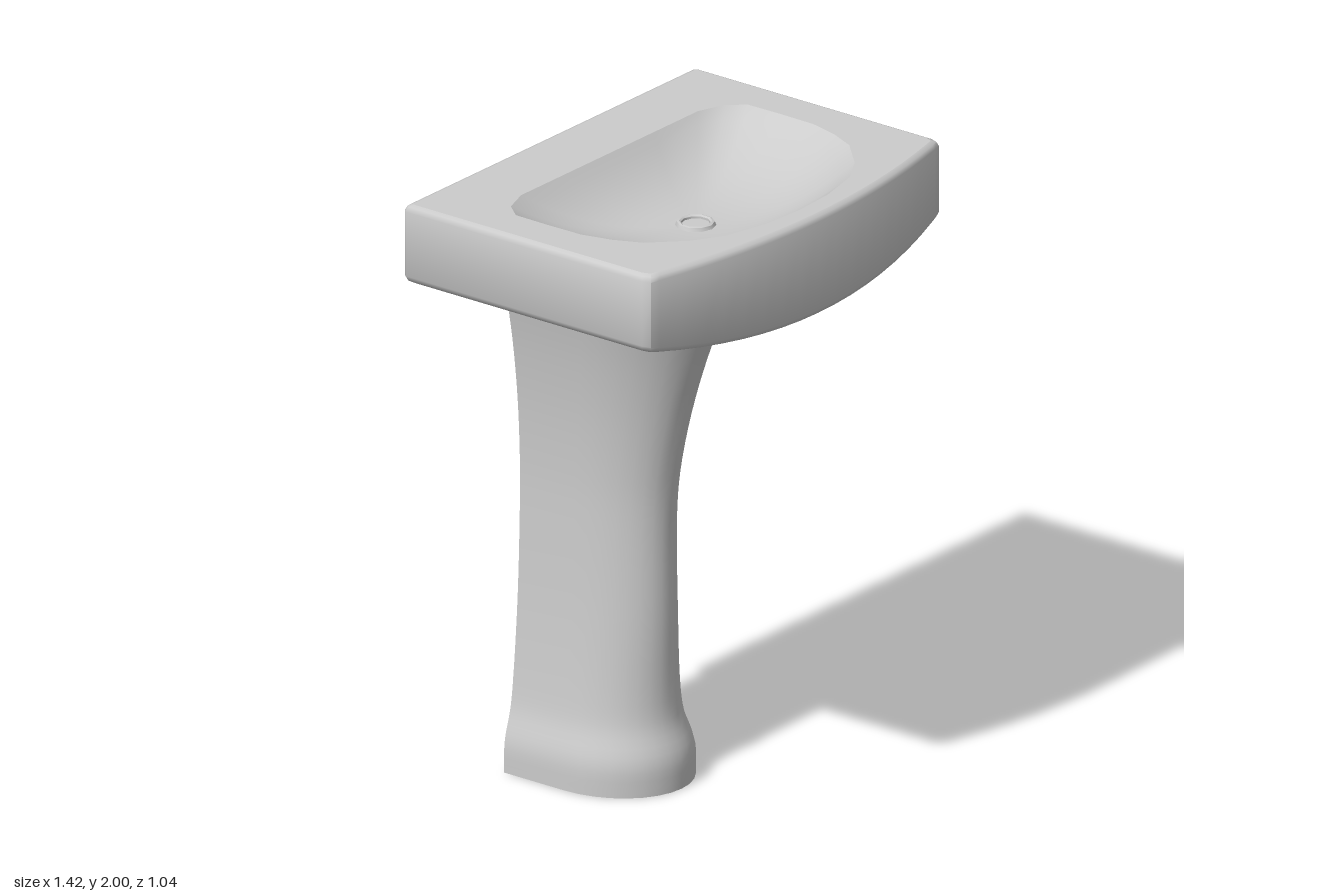
import * as THREE from 'three';
import { toCreasedNormals } from 'three/addons/utils/BufferGeometryUtils.js';

const V = (x, y, z) => new THREE.Vector3(x, y, z);

function meshFrom(name, tris, crease) {
  const geo = new THREE.BufferGeometry().setFromPoints(tris);
  return meshOf(name, toCreasedNormals(geo, crease));
}

function meshOf(name, geo) {
  const mesh = new THREE.Mesh(geo, new THREE.MeshStandardMaterial({ color: 0xcccccc }));
  mesh.name = name;
  return mesh;
}

// Triangles of a skin between successive closed rings
function loft(rings) {
  const tris = [];
  for (let k = 0; k + 1 < rings.length; k++) {
    const r0 = rings[k], r1 = rings[k + 1], n = r0.length;
    for (let i = 0; i < n; i++) {
      const j = (i + 1) % n;
      tris.push(r0[i], r0[j], r1[j], r0[i], r1[j], r1[i]);
    }
  }
  return tris;
}

// Basin plan: straight back and sides, bowed front, softened corners
const bottomY = (x) => 1.675 + 0.075 * (x / 0.71) ** 2;
const columns = [-0.71, -0.7];
for (let i = 0; i <= 16; i++) columns.push(-0.67 + (1.34 * i) / 16);
columns.push(0.7, 0.71);
const front = columns.map((x) => [x, Math.abs(x) > 0.705 ? 0.4 : 0.52 - 0.085 * (x / 0.67) ** 2]);
const back = columns.map((x) => [x, Math.abs(x) > 0.705 ? -0.51 : -0.52]);
const plan = [...front, ...back.slice().reverse()];

function planRing(inset, yAt) {
  return plan.map(([px, pz]) => {
    const x = px * (1 - inset / 0.71), z = pz * (1 - inset / 0.52);
    return V(x, yAt(x), z);
  });
}

// Bowl outline, mirrored from its left half
const half = [[0.15, 0.435], [0.3, 0.4], [0.4, 0.34], [0.5, 0.24], [0.54, 0.15], [0.565, 0.05],
  [0.567, -0.08], [0.565, -0.2], [0.52, -0.255], [0.43, -0.287], [0.22, -0.287]];
const bowlPlan = [[0, 0.445], ...half, [0, -0.287], ...half.slice().reverse().map(([x, z]) => [-x, z])];
const drainZ = 0.045, bowlDepth = 0.15;

function makeBasin() {
  const group = new THREE.Group();
  group.name = 'basin';

  // Outer walls with rounded edges, and the arched underside
  const low = (h) => (x) => bottomY(x) + h;
  const rings = [
    planRing(0.02, low(0)), planRing(0.006, low(0.006)), planRing(0, low(0.02)),
    planRing(0, () => 1.98), planRing(0.006, () => 1.994), planRing(0.02, () => 2),
  ];
  const tris = loft(rings);
  const n = columns.length, under = rings[0];
  for (let i = 0; i + 1 < n; i++) {
    const f0 = under[i], f1 = under[i + 1], b0 = under[2 * n - 1 - i], b1 = under[2 * n - 2 - i];
    tris.push(f0, b0, b1, f0, b1, f1);
  }
  group.add(meshFrom('basinShell', tris, 0.9));

  // Flat rim around the bowl
  const shape = new THREE.Shape(rings[5].map((p) => new THREE.Vector2(p.x, -p.z)));
  shape.holes.push(new THREE.Path(bowlPlan.map(([x, z]) => new THREE.Vector2(x, -z))));
  const rim = new THREE.ShapeGeometry(shape).rotateX(-Math.PI / 2).translate(0, 2, 0);
  group.add(meshOf('rim', rim));

  // Bowl sinking towards the drain
  const bowlRings = [];
  for (let k = 0; k <= 12; k++) {
    const t = 1 - (0.95 * k) / 12;
    const y = 2 - bowlDepth * (1 - t ** 2.5);
    bowlRings.push(bowlPlan.map(([x, z]) => V(x * t, y, drainZ + (z - drainZ) * t)));
  }
  group.add(meshFrom('bowl', loft(bowlRings), 1));
  return group;
}

function makeDrain() {
  const group = new THREE.Group();
  group.name = 'drain';
  const profile = [[0.045, 0], [0.045, 0.01], [0.051, 0.014], [0.058, 0.012], [0.063, 0]]
    .map(([r, y]) => new THREE.Vector2(r, y)).reverse();
  const ring = meshOf('drainRing', toCreasedNormals(new THREE.LatheGeometry(profile, 10), 0.7));
  ring.material.side = THREE.DoubleSide;
  const plate = meshOf('drainPlate', new THREE.CircleGeometry(0.05, 10).rotateX(-Math.PI / 2));
  plate.position.y = 0.003;
  group.add(ring, plate);
  group.position.set(0, 2 - bowlDepth, drainZ);
  return group;
}

function makePedestal() {
  // Half width, height and front reach up the column
  const path = new THREE.CatmullRomCurve3([
    V(0.23, 0, -0.01), V(0.228, 0.1, -0.012), V(0.2, 0.2, -0.045), V(0.188, 0.28, -0.055),
    V(0.165, 0.55, -0.055), V(0.154, 0.85, -0.055), V(0.154, 1, -0.042), V(0.165, 1.2, 0),
    V(0.19, 1.4, 0.06), V(0.225, 1.58, 0.13), V(0.25, 1.7, 0.19),
  ]);
  const backZ = -0.51, arc = 16;
  const rings = path.getPoints(40).map(({ x: w, y, z }) => {
    const reach = 0.54 * (z - backZ);
    const ring = [V(-w, y, backZ)];
    for (let i = 0; i <= arc; i++) {
      const a = Math.PI * (1 - i / arc);
      ring.push(V(w * Math.cos(a), y, z - reach + reach * Math.sin(a)));
    }
    ring.push(V(w, y, backZ));
    return ring;
  });
  const tris = loft(rings);
  // Foot and top caps
  const foot = rings[0], top = rings[rings.length - 1];
  for (let i = 1; i + 1 < foot.length; i++) {
    tris.push(foot[0], foot[i + 1], foot[i], top[0], top[i], top[i + 1]);
  }
  return meshFrom('pedestal', tris, 0.7);
}

export function createModel() {
  const model = new THREE.Group();
  model.name = 'pedestalSink';
  model.add(makeBasin(), makeDrain(), makePedestal());
  return model;
}
